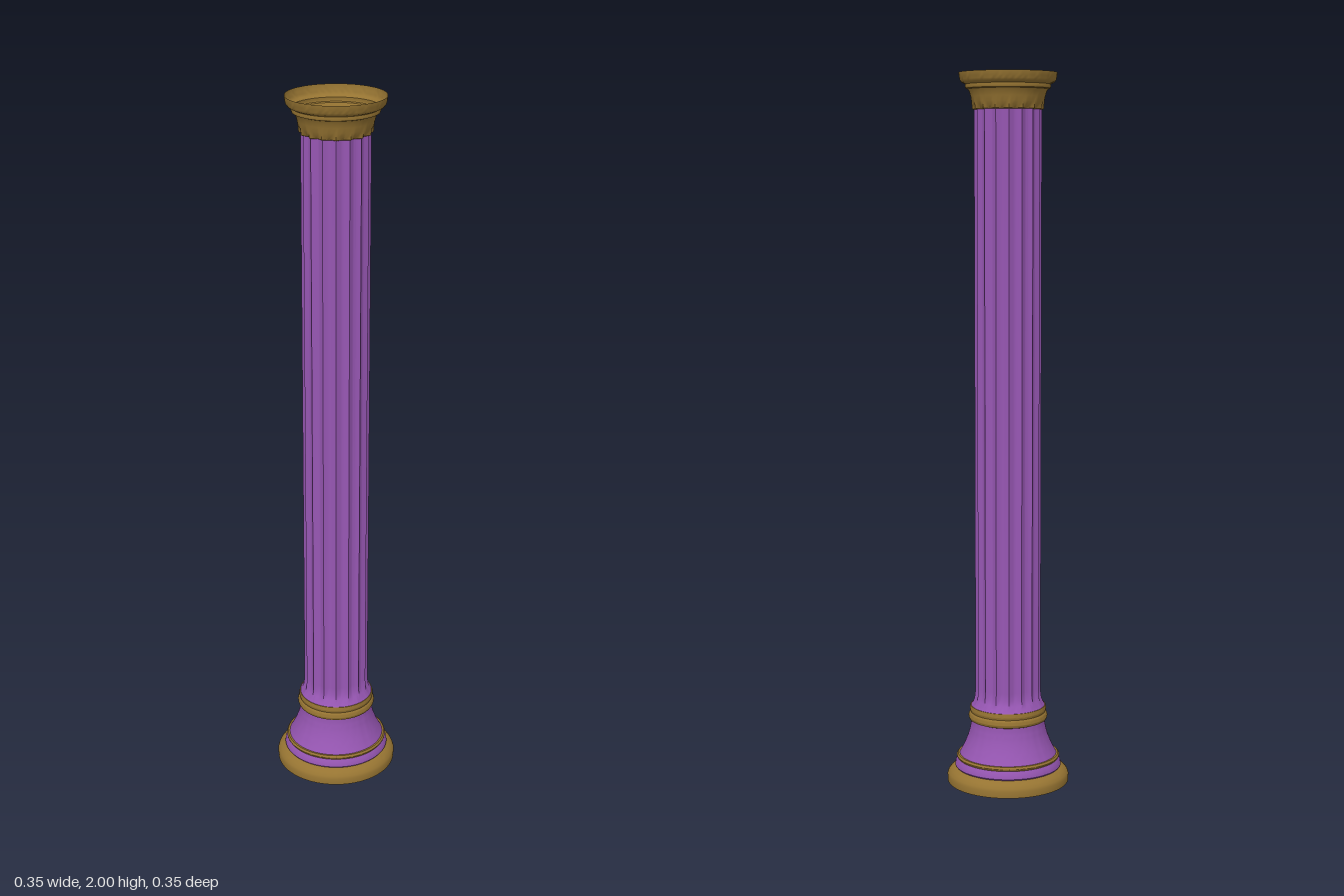
import * as THREE from 'three';
import { toCreasedNormals } from 'three/addons/utils/BufferGeometryUtils.js';

const FLUTES = 16;
const SEGMENTS = FLUTES * 6;

// Loft of rings [y, radius, flute depth], listed from bottom to top
function loft(rings) {
  const pos = [], index = [];
  for (const [y, r, depth = 0] of rings) {
    for (let i = 0; i <= SEGMENTS; i++) {
      const a = (i / SEGMENTS) * Math.PI * 2;
      const rad = r - depth * Math.abs(Math.sin((a * FLUTES) / 2));
      pos.push(Math.sin(a) * rad, y, Math.cos(a) * rad);
    }
  }
  const row = SEGMENTS + 1;
  for (let j = 0; j < rings.length - 1; j++) {
    for (let i = 0; i < SEGMENTS; i++) {
      const a = j * row + i, b = a + 1, c = a + row, d = c + 1;
      index.push(a, b, d, a, d, c);
    }
  }
  const g = new THREE.BufferGeometry();
  g.setAttribute('position', new THREE.Float32BufferAttribute(pos, 3));
  g.setIndex(index);
  return toCreasedNormals(g, 0.6);
}

// Quarter-round or half-round bulge between two heights
function bulge(y0, y1, r, out, steps = 6) {
  return Array.from({ length: steps + 1 }, (_, i) => {
    const t = i / steps;
    return [y0 + (y1 - y0) * t, r + out * Math.sin(Math.PI * t)];
  });
}

export function createModel() {
  const group = new THREE.Group();
  group.name = 'column';
  const gold = new THREE.MeshStandardMaterial({ color: 0x967432, side: THREE.DoubleSide });
  const purple = new THREE.MeshStandardMaterial({ color: 0x9656b2, side: THREE.DoubleSide });
  const add = (name, material, rings) => {
    const mesh = new THREE.Mesh(loft(rings), material);
    mesh.name = name;
    group.add(mesh);
  };

  // Base mouldings
  add('plinth', gold, [
    [0, 0.173], [0.018, 0.174], [0.026, 0.171], [0.034, 0.164], [0.04, 0.156], [0.043, 0.149],
  ]);
  add('baseBand', purple, [[0.043, 0.149], [0.047, 0.152], [0.058, 0.15], [0.068, 0.144]]);
  add('baseRing', gold, [[0.068, 0.144], ...bulge(0.068, 0.08, 0.143, 0.004), [0.08, 0.138]]);

  // Hollow sweep between the base and the collar
  const sweep = [];
  for (let i = 0; i <= 10; i++) {
    const t = i / 10;
    sweep.push([0.08 + 0.1 * t, 0.105 + 0.033 * Math.pow(1 - t, 1.7)]);
  }
  add('baseSweep', purple, sweep);

  // Collar under the shaft
  add('collar', gold, [
    [0.18, 0.105], ...bulge(0.182, 0.2, 0.11, 0.003), [0.203, 0.108],
    ...bulge(0.204, 0.222, 0.107, 0.002), [0.222, 0.105],
  ]);

  // Fluted shaft, flaring round at the foot
  add('shaft', purple, [
    [0.222, 0.105, 0], [0.23, 0.1, 0.001], [0.24, 0.096, 0.004], [0.255, 0.094, 0.008],
    [0.275, 0.093, 0.009], [1.9, 0.093, 0.009],
  ]);

  // Capital, with the flutes dying into its neck
  add('capitalNeck', gold, [
    [1.9, 0.093, 0.009], [1.902, 0.098, 0.01], [1.912, 0.099, 0.005], [1.922, 0.1, 0.001],
    [1.935, 0.102], [1.948, 0.106], [1.955, 0.11],
  ]);
  add('capitalRim', gold, [
    [1.955, 0.11], [1.957, 0.116], [1.963, 0.118], [1.968, 0.117], [1.97, 0.121],
    [1.973, 0.127], [1.98, 0.132], [1.988, 0.134], [2, 0.135],
  ]);
  return group;
}
